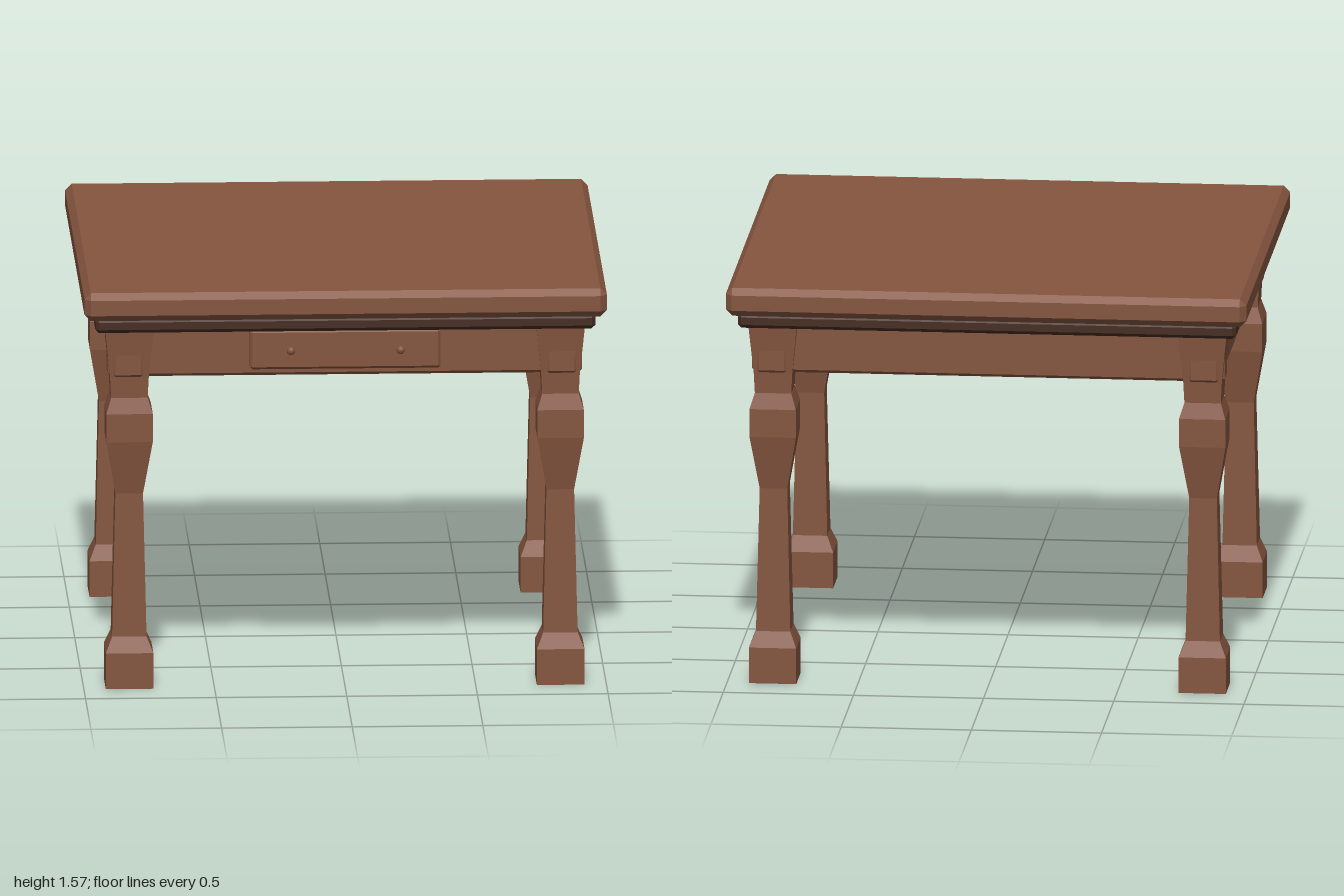
import * as THREE from 'three';
import { ConvexGeometry } from 'three/addons/geometries/ConvexGeometry.js';

// Box with every edge chamfered by c
function chamferBox(w, h, d, c) {
  const x = w / 2, y = h / 2, z = d / 2, points = [];
  for (const sx of [-1, 1]) for (const sy of [-1, 1]) for (const sz of [-1, 1]) {
    points.push(
      new THREE.Vector3(sx * x, sy * (y - c), sz * (z - c)),
      new THREE.Vector3(sx * (x - c), sy * y, sz * (z - c)),
      new THREE.Vector3(sx * (x - c), sy * (y - c), sz * z));
  }
  return new ConvexGeometry(points);
}

// Square leg: half-width and height pairs turned with four sides
function legGeometry() {
  const profile = [
    [0, 0], [0.091, 0], [0.091, 0.14], [0.066, 0.2], [0.053, 0.76],
    [0.089, 0.97], [0.089, 1.08], [0.07, 1.14], [0.074, 1.22], [0.093, 1.41], [0, 1.41],
  ].map(([half, y]) => new THREE.Vector2(half * Math.SQRT2, y));
  const geometry = new THREE.LatheGeometry(profile, 4, Math.PI / 4).toNonIndexed();
  geometry.computeVertexNormals();
  return geometry;
}

export function createModel() {
  const table = new THREE.Group();
  table.name = 'table';

  const wood = new THREE.MeshStandardMaterial({ color: 0x85553f });
  wood.name = 'brown wood';
  const darkWood = new THREE.MeshStandardMaterial({ color: 0x452d22 });
  darkWood.name = 'dark wood';

  const add = (name, geometry, material, x, y, z) => {
    const mesh = new THREE.Mesh(geometry, material);
    mesh.name = name;
    mesh.position.set(x, y, z);
    table.add(mesh);
    return mesh;
  };

  // Top slab and the dark moulding under it
  add('tableTop', chamferBox(2, 0.11, 1.842, 0.025), wood, 0, 1.515, 0);
  add('underMoulding', chamferBox(1.914, 0.057, 1.752, 0.014), darkWood, 0, 1.4335, 0);

  // Apron boards, whose ends show slightly through the legs
  const longBoard = chamferBox(1.816, 0.19, 0.12, 0.012);
  const sideBoard = chamferBox(0.12, 0.19, 1.676, 0.012);
  add('frontApron', longBoard, wood, 0, 1.315, 0.755);
  add('backApron', longBoard, wood, 0, 1.315, -0.755);
  add('leftApron', sideBoard, wood, 0.83, 1.315, 0);
  add('rightApron', sideBoard, wood, -0.83, 1.315, 0);

  // Legs
  const leg = legGeometry();
  for (const sz of [1, -1]) for (const sx of [1, -1]) {
    const name = (sz > 0 ? 'front' : 'back') + (sx > 0 ? 'Left' : 'Right') + 'Leg';
    add(name, leg, wood, sx * 0.825, 0, sz * 0.755);
  }

  // Drawer front with two small knobs
  add('drawerFront', chamferBox(0.73, 0.155, 0.066, 0.01), wood, 0, 1.3325, 0.833);
  const knob = new THREE.SphereGeometry(0.016, 8, 6);
  for (const sx of [1, -1]) {
    add(sx > 0 ? 'leftKnob' : 'rightKnob', knob, wood, sx * 0.21, 1.337, 0.905).scale.z = 0.7;
  }

  return table;
}
